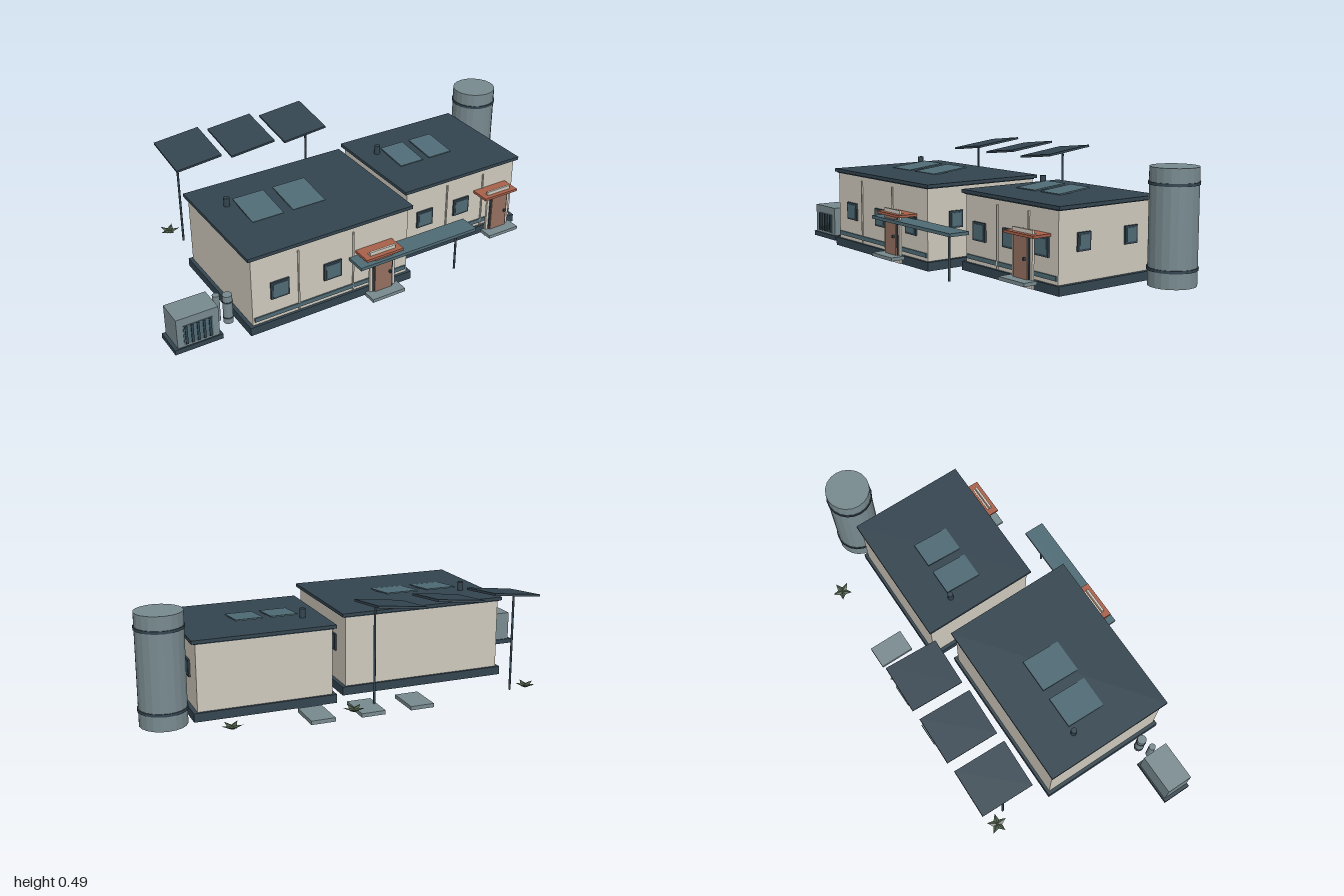
import * as THREE from 'three';

const mat = (name, color, extra = {}) => {
  const m = new THREE.MeshStandardMaterial({ color, ...extra });
  m.name = name;
  return m;
};

export function createModel() {
  const navy = mat('navy', 0x33444f);
  const cream = mat('cream', 0xcfc9bc);
  const teal = mat('teal', 0x4f6b75);
  const steel = mat('steel', 0x788a8f, { flatShading: true });
  const rust = mat('rust', 0xa8604a);
  const brown = mat('brown', 0x95705f);
  const green = mat('green', 0x4a5b45, { flatShading: true, side: THREE.DoubleSide });

  const model = new THREE.Group();
  model.name = 'outpost';

  const add = (parent, name, geometry, material) => {
    const mesh = new THREE.Mesh(geometry, material);
    mesh.name = name;
    parent.add(mesh);
    return mesh;
  };
  // Box given by its min and max on each axis
  const box = (parent, name, material, x0, x1, y0, y1, z0, z1) => {
    const m = add(parent, name, new THREE.BoxGeometry(x1 - x0, y1 - y0, z1 - z0), material);
    m.position.set((x0 + x1) / 2, (y0 + y1) / 2, (z0 + z1) / 2);
    return m;
  };
  // Upright cylinder from y0 to y1
  const post = (parent, name, material, x, z, r, y0, y1, sides = 10) => {
    const m = add(parent, name, new THREE.CylinderGeometry(r, r, y1 - y0, sides), material);
    m.position.set(x, (y0 + y1) / 2, z);
    return m;
  };
  const group = (parent, name) => {
    const g = new THREE.Group();
    g.name = name;
    parent.add(g);
    return g;
  };

  // Framed window facing +z, centred on its own origin
  const addWindow = (parent, w, h, x, y, z, turn = 0) => {
    const g = group(parent, 'window');
    const t = 0.009;
    box(g, 'windowFrame', navy, -w / 2, w / 2, -h / 2, h / 2, -0.006, 0.008);
    box(g, 'windowGlass', teal, -w / 2 + t, w / 2 - t, -h / 2 + t, h / 2 - t, 0.004, 0.010);
    g.position.set(x, y, z);
    g.rotation.y = turn;
  };

  // Entrance: frame, door, canopy and step standing before the front wall
  const addEntrance = (parent, x, z) => {
    const g = group(parent, 'entrance');
    box(g, 'doorFrame', cream, -0.062, 0.062, 0.02, 0.25, 0.06, 0.07);
    box(g, 'doorSurround', navy, -0.049, 0.049, 0.045, 0.226, 0.068, 0.074);
    box(g, 'door', brown, -0.042, 0.042, 0.045, 0.22, 0.072, 0.08);
    box(g, 'doorHandle', navy, 0.025, 0.033, 0.13, 0.142, 0.08, 0.09);
    box(g, 'canopy', rust, -0.09, 0.09, 0.223, 0.234, 0, 0.09);
    box(g, 'canopyStrip', cream, -0.062, 0.062, 0.234, 0.237, 0.05, 0.056);
    box(g, 'step', steel, -0.08, 0.08, 0.04, 0.055, 0.06, 0.125);
    g.position.set(x, 0, z);
  };

  const addBuilding = (name, b) => {
    const g = group(model, name);
    const { x0, x1, z0, z1, top } = b;
    box(g, 'foundation', navy, x0, x1, 0, 0.038, z0, z1);
    box(g, 'walls', cream, x0 + 0.016, x1 - 0.018, 0.038, top - 0.014, z0 + 0.012, z1 - 0.012);
    box(g, 'cornice', navy, x0 + 0.01, x1 - 0.012, top - 0.02, top - 0.014, z0 + 0.007, z1 - 0.007);
    box(g, 'roof', navy, x0, x1, top - 0.015, top, z0, z1);
    const front = z1 - 0.012;
    box(g, 'skirtBand', teal, x0 + 0.024, x1 - 0.026, 0.054, 0.073, front, front + 0.006);
    b.seams.forEach(x => box(g, 'wallSeam', cream, x - 0.003, x + 0.003, 0.04, top - 0.04, front, front + 0.006));
    b.windows.forEach(x => addWindow(g, 0.084, 0.08, x, 0.179, front));
    b.sideWindows.forEach(z => addWindow(g, 0.068, 0.075, x1 - 0.018, b.sideY, z, Math.PI / 2));
    addEntrance(g, b.doorX, front);

    // Tilted roof collectors and vent
    b.collectors.forEach(([a, c]) => {
      const [za, zb] = b.collectorZ;
      const m = box(g, 'roofCollector', teal, a, c, top + 0.006, top + 0.012, za, zb);
      m.rotation.x = Math.atan(b.rise / (zb - za));
    });
    post(g, 'roofVent', navy, b.vent[0], b.vent[1], 0.013, top, top + 0.04, 12);
  };

  addBuilding('mainBuilding', {
    x0: -0.69, x1: 0.09, z0: -0.19, z1: 0.408, top: 0.369,
    seams: [-0.46, -0.2], windows: [-0.548, -0.3, -0.05],
    sideWindows: [0.252, -0.037], sideY: 0.208, doorX: -0.098,
    collectors: [[-0.545, -0.4], [-0.355, -0.2]], collectorZ: [-0.008, 0.175], rise: 0.02,
    vent: [-0.575, -0.003],
  });
  addBuilding('annexBuilding', {
    x0: 0.147, x1: 0.773, z0: -0.265, z1: 0.272, top: 0.347,
    seams: [0.38, 0.58], windows: [0.26, 0.46, 0.66],
    sideWindows: [0.133, -0.12], sideY: 0.197, doorX: 0.622,
    collectors: [[0.262, 0.382], [0.418, 0.538]], collectorZ: [-0.1, 0.068], rise: 0.016,
    vent: [0.24, -0.097],
  });

  // Covered walk between the buildings
  const walk = group(model, 'coveredWalk');
  box(walk, 'walkRoof', teal, -0.22, 0.37, 0.196, 0.21, 0.398, 0.492);
  post(walk, 'walkPost', navy, 0.298, 0.445, 0.005, 0, 0.2);

  // Water tank with two bands
  const tank = group(model, 'waterTank');
  post(tank, 'tankBody', steel, 0.89, -0.224, 0.1, 0, 0.477, 20);
  [0.07, 0.412].forEach(y => post(tank, 'tankBand', navy, 0.89, -0.224, 0.104, y - 0.006, y + 0.006, 20));

  // Generator cabinet with louvred front
  const gen = group(model, 'generator');
  box(gen, 'generatorBase', navy, -1, -0.79, 0, 0.022, 0.228, 0.36);
  box(gen, 'generatorBody', steel, -0.985, -0.802, 0.022, 0.158, 0.234, 0.354);
  box(gen, 'generatorPanel', teal, -0.957, -0.83, 0.032, 0.122, 0.354, 0.357);
  for (let i = 0; i < 5; i++) {
    const x = -0.946 + i * 0.026;
    box(gen, 'louvre', navy, x - 0.005, x + 0.005, 0.034, 0.12, 0.355, 0.361);
  }
  post(gen, 'exhaust', steel, -0.783, 0.292, 0.015, 0.045, 0.168, 12);

  // Gas bottle
  const bottle = group(model, 'gasBottle');
  post(bottle, 'bottleBody', steel, -0.728, 0.28, 0.021, 0.01, 0.143, 14);
  [0.036, 0.112].forEach(y => post(bottle, 'bottleBand', navy, -0.728, 0.28, 0.0225, y - 0.003, y + 0.003, 14));

  // Solar panels tilted on both axes, the outer two carried by poles
  const solar = group(model, 'solarArray');
  [-0.566, -0.302, -0.035].forEach(x => {
    const m = add(solar, 'solarPanel', new THREE.BoxGeometry(0.216, 0.01, 0.246), navy);
    m.position.set(x, 0.453, -0.402);
    m.rotation.set(0.125, 0, 0.11);
  });
  [-0.625, 0.03].forEach(x => post(solar, 'solarPole', navy, x, -0.395, 0.005, 0, 0.447));

  // Paving slabs behind the buildings
  [0.295, 0.073, -0.15].forEach(x => box(model, 'pavingSlab', steel, x - 0.053, x + 0.053, 0.008, 0.025, -0.489, -0.328));

  // Low star-shaped plants
  [-0.668, 0.147, 0.667].forEach((x, n) => {
    const plant = group(model, 'plant');
    for (let i = 0; i < 5; i++) {
      const leaf = group(plant, 'leaf');
      const blade = add(leaf, 'leafBlade', new THREE.ConeGeometry(0.02, 0.047, 4), green);
      blade.scale.z = 0.4;
      blade.rotation.x = Math.PI / 2 - 0.3;
      blade.position.set(0, 0.038, 0.023);
      leaf.rotation.y = (i / 5) * Math.PI * 2 + n * 0.25;
    }
    plant.position.set(x, 0, -0.452);
  });

  return model;
}
